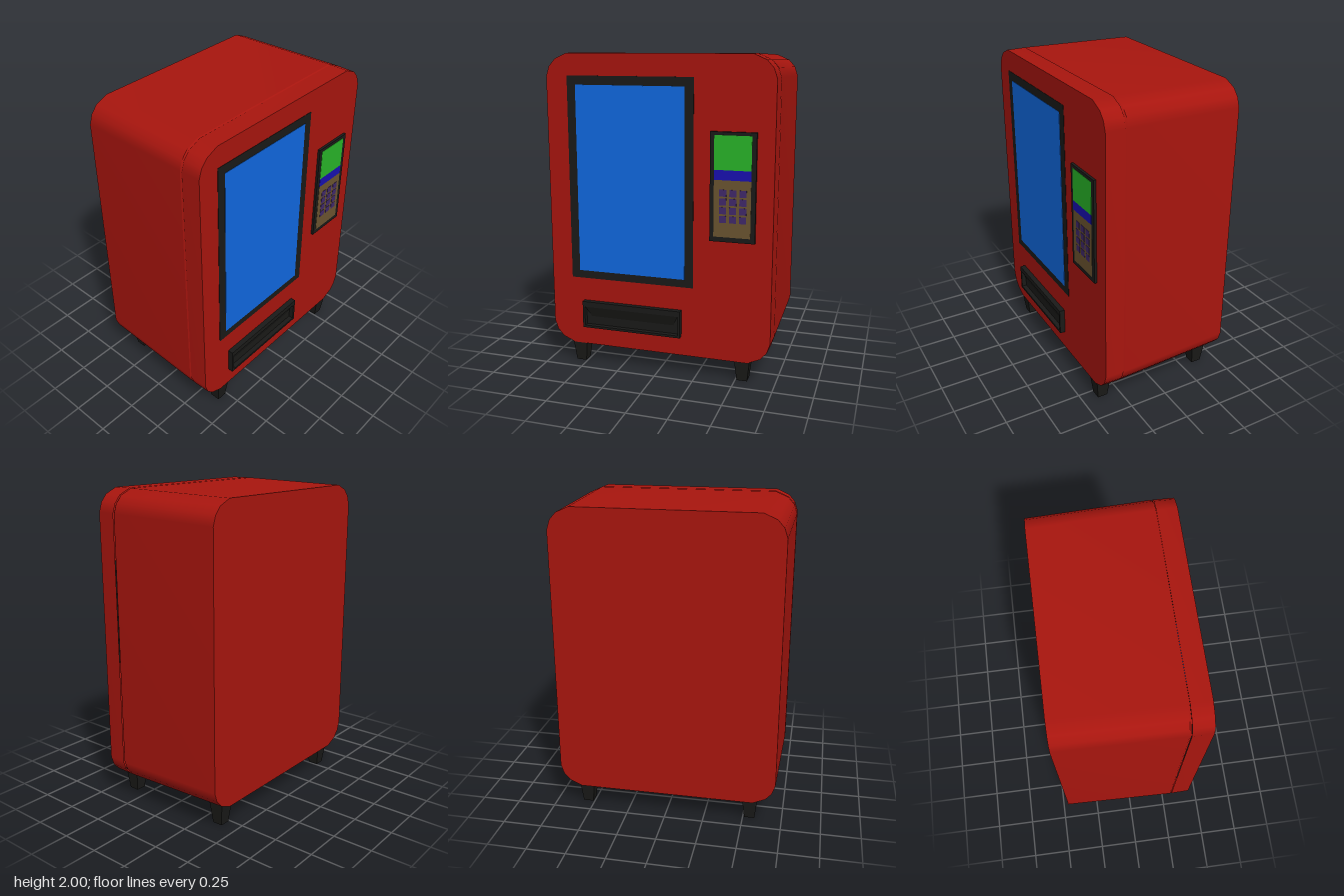
import * as THREE from 'three';

const mat = (color) => new THREE.MeshStandardMaterial({ color, side: THREE.DoubleSide });
const red = mat(0xa8150e), black = mat(0x1a1a18), blue = mat(0x1068e0), green = mat(0x28b428);
const navy = mat(0x1810b0), brown = mat(0x6b5430), purple = mat(0x40286a);
const FRONT = 0.42;

// Rounded outline, counter-clockwise seen from the front
function outline(w, y0, y1) {
  const corner = [[0, 0.14], [0.02, 0.08], [0.06, 0.035], [0.14, 0]];
  const back = [...corner].reverse();
  return [
    ...corner.map(([a, b]) => [w - a, y1 - b]),
    ...back.map(([a, b]) => [-w + a, y1 - b]),
    ...corner.map(([a, b]) => [-w + a, y0 + b]),
    ...back.map(([a, b]) => [w - a, y0 + b]),
  ];
}

// Smooth skin through a list of [z, halfWidth, bottom, top] sections, front to back
function loft(sections) {
  const pos = [], idx = [];
  const n = 16;
  sections.forEach(([z, w, y0, y1], s) => {
    outline(w, y0, y1).forEach(([x, y]) => pos.push(x, y, z));
    if (s === 0) return;
    for (let i = 0; i < n; i++) {
      const j = (i + 1) % n, a = (s - 1) * n, b = s * n;
      idx.push(a + i, b + i, a + j, a + j, b + i, b + j);
    }
  });
  const g = new THREE.BufferGeometry();
  g.setAttribute('position', new THREE.Float32BufferAttribute(pos, 3));
  g.setIndex(idx);
  g.computeVertexNormals();
  return g;
}

export function createModel() {
  const model = new THREE.Group();
  model.name = 'vendingMachine';

  const add = (name, geometry, material) => {
    const m = new THREE.Mesh(geometry, material);
    m.name = name;
    model.add(m);
    return m;
  };
  // Box given by its edges
  const block = (name, material, x0, x1, y0, y1, z0, z1) =>
    add(name, new THREE.BoxGeometry(x1 - x0, y1 - y0, z1 - z0), material)
      .position.set((x0 + x1) / 2, (y0 + y1) / 2, (z0 + z1) / 2);
  const rect = (Type, x0, x1, y0, y1) => {
    const p = new Type();
    p.moveTo(x0, y0).lineTo(x1, y0).lineTo(x1, y1).lineTo(x0, y1).closePath();
    return p;
  };

  // Cabinet, narrowing to the back, and door with a shallow seam between them
  const back = [-0.455, 0.705, 0.145, 1.985], front = [FRONT, 0.718, 0.13, 2];
  add('cabinet', loft([[0.285, 0.721, 0.13, 2], back]), red);
  add('doorSeam', loft([[0.297, 0.715, 0.136, 1.995], [0.285, 0.721, 0.13, 2]]), red);
  add('door', loft([front, [0.297, 0.721, 0.13, 2]]), red);
  for (const [name, [z, w, y0, y1]] of [['doorFace', front], ['backPanel', back]]) {
    const shape = new THREE.Shape(outline(w, y0, y1).map(([x, y]) => new THREE.Vector2(x, y)));
    const cap = add(name, new THREE.ShapeGeometry(shape), red);
    cap.position.z = z;
    if (z < 0) cap.rotation.y = Math.PI;
  }

  // Display window, nearly flush with the door
  block('windowFrame', black, -0.58, 0.23, 0.58, 1.865, FRONT - 0.02, FRONT + 0.002);
  block('windowGlass', blue, -0.525, 0.175, 0.63, 1.81, FRONT - 0.02, FRONT + 0.004);

  // Payment panel with screen, stripe and keypad
  block('controlPanel', black, 0.335, 0.613, 0.895, 1.555, FRONT - 0.01, 0.436);
  block('controlScreen', green, 0.36, 0.585, 1.33, 1.535, FRONT, 0.438);
  block('controlStripe', navy, 0.36, 0.585, 1.27, 1.33, FRONT, 0.438);
  block('keypadPlate', brown, 0.36, 0.585, 0.925, 1.27, FRONT, 0.438);
  for (let r = 0; r < 4; r++) {
    for (let c = 0; c < 3; c++) {
      const x = 0.394 + c * 0.061, y = 1.013 + r * 0.053;
      block('key', purple, x, x + 0.043, y, y + 0.042, FRONT, 0.44);
    }
  }

  // Dispensing tray: a surround with a flap tilted inwards at its foot
  const surround = rect(THREE.Shape, -0.5, 0.155, 0.255, 0.43);
  surround.holes.push(rect(THREE.Path, -0.485, 0.14, 0.27, 0.395));
  add('traySurround', new THREE.ExtrudeGeometry(surround, { depth: 0.035, bevelEnabled: false }), black)
    .position.z = FRONT;
  block('trayBack', black, -0.485, 0.14, 0.27, 0.4, FRONT - 0.01, FRONT + 0.003);
  const flap = new THREE.BufferGeometry();
  flap.setAttribute('position', new THREE.Float32BufferAttribute([
    -0.485, 0.395, 0.45, -0.45, 0.325, 0.424, 0.105, 0.325, 0.424, 0.14, 0.395, 0.45,
  ], 3));
  flap.setIndex([0, 1, 2, 0, 2, 3]);
  flap.computeVertexNormals();
  add('trayFlap', flap, black);

  // Four tapered square feet
  const legGeo = new THREE.CylinderGeometry(0.051 * Math.SQRT2, 0.033 * Math.SQRT2, 0.16, 4);
  legGeo.rotateY(Math.PI / 4);
  const legMat = mat(0x1a1a18);
  legMat.flatShading = true;
  for (const x of [-0.543, 0.543]) {
    for (const z of [0.365, -0.365]) add('foot', legGeo, legMat).position.set(x, 0.08, z);
  }

  return model;
}
